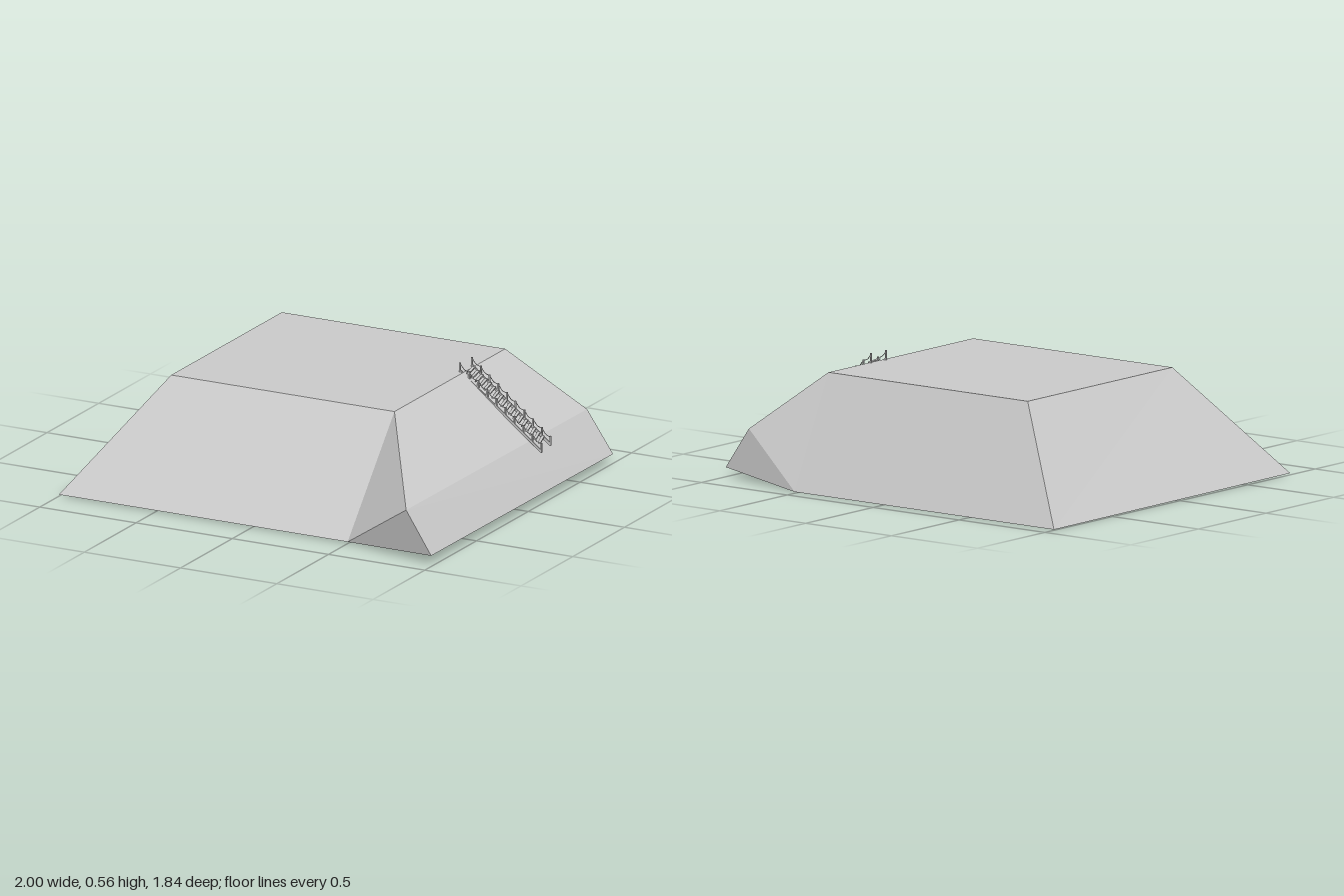
import * as THREE from 'three';

const grey = new THREE.MeshStandardMaterial({ color: 0xcccccc, flatShading: true });
const V = (x, y, z) => new THREE.Vector3(x, y, z);

// Flat panels fanned from their first corner, each turned to face away from the middle
function panels(faces, centre) {
  const pos = [];
  for (const f of faces) {
    for (let i = 1; i < f.length - 1; i++) {
      let [a, b, c] = [f[0], f[i], f[i + 1]];
      const n = b.clone().sub(a).cross(c.clone().sub(a));
      if (n.dot(a.clone().sub(centre)) < 0) [b, c] = [c, b];
      for (const p of [a, b, c]) pos.push(p.x, p.y, p.z);
    }
  }
  const g = new THREE.BufferGeometry();
  g.setAttribute('position', new THREE.Float32BufferAttribute(pos, 3));
  g.computeVertexNormals();
  return g;
}

// Box beam stretched between two points
function beam(name, a, b, height, width) {
  const m = new THREE.Mesh(new THREE.BoxGeometry(width, height, a.distanceTo(b)), grey);
  m.name = name;
  m.position.copy(a).lerp(b, 0.5);
  m.lookAt(b);
  return m;
}

function createMound() {
  // Plateau corners
  const tBL = V(-0.64, 0.52, -0.67), tBR = V(0.52, 0.52, -0.67);
  const tFR = V(0.52, 0.52, 0.4), tFL = V(-0.64, 0.52, 0.4), tFS = V(0.29, 0.52, 0.4);
  // Base corners, with the points where the right end lifts
  const bBL = V(-0.99, 0, -0.92), bBS = V(0.52, 0, -0.92), bBR = V(1, 0.045, -0.82);
  const bFR = V(0.99, 0.045, 0.92), bFS = V(0.5, 0.008, 0.815), bFL = V(-1, 0.008, 0.815);
  // Ridge along the right slope
  const rB = V(0.865, 0.24, -0.82), rF = V(0.86, 0.245, 0.92);
  const mound = new THREE.Mesh(panels([
    [tBL, tBR, tFR, tFS, tFL],        // plateau
    [bFL, bFS, tFS, tFL],             // front slope
    [bFS, rF, tFR, tFS],              // front slope, right strip
    [bFS, bFR, rF],                   // front end cap
    [tFR, rF, rB, tBR],               // right upper slope
    [rF, bFR, bBR, rB],               // right lower slope
    [bBS, bBR, rB],                   // back end cap
    [bBS, rB, tBR, tBL, bBL],         // back slope
    [bBL, bFL, tFL, tBL],             // left slope
    [bFL, bFS, bBS, bBL],             // underside
    [bFS, bFR, bBR, bBS],             // raised underside
  ], V(0, 0.2, 0)), grey);
  mound.name = 'mound';
  return mound;
}

function createStairs() {
  const stairs = new THREE.Group();
  stairs.name = 'stairs';
  const sides = [
    [V(0.512, 0.526, -0.365), V(0.925, 0.212, -0.355)],
    [V(0.503, 0.526, -0.267), V(0.93, 0.207, -0.257)],
  ];
  const along = ([a, b], t) => a.clone().lerp(b, t);
  const up = (p, h) => p.clone().add(V(0, h, 0));

  for (const side of sides) {
    stairs.add(beam('stringer', up(side[0], -0.002), up(side[1], -0.002), 0.012, 0.006));
    // Posts with a sagging rope between their tops
    const spans = 9, rope = [];
    for (let i = 0; i <= spans; i++) {
      const p = along(side, i / spans);
      const post = new THREE.Mesh(new THREE.BoxGeometry(0.007, 0.046, 0.007), grey);
      post.name = 'post';
      post.position.copy(up(p, 0.016));
      stairs.add(post);
      rope.push(up(p, 0.034));
      if (i < spans) rope.push(up(along(side, (i + 0.5) / spans), 0.025));
    }
    const line = new THREE.Mesh(
      new THREE.TubeGeometry(new THREE.CatmullRomCurve3(rope), 72, 0.0018, 5), grey);
    line.name = 'rope';
    stairs.add(line);
  }

  // Slightly skewed treads
  const count = 18;
  for (let i = 0; i < count; i++) {
    const t = (i + 0.5) / count * 0.93;
    stairs.add(beam('tread', up(along(sides[0], t), 0.002),
      along(sides[1], t + 0.07).setY(along(sides[0], t).y + 0.002), 0.006, 0.014));
  }
  return stairs;
}

export function createModel() {
  const model = new THREE.Group();
  model.name = 'moundWithStairs';
  model.add(createMound(), createStairs());
  return model;
}
